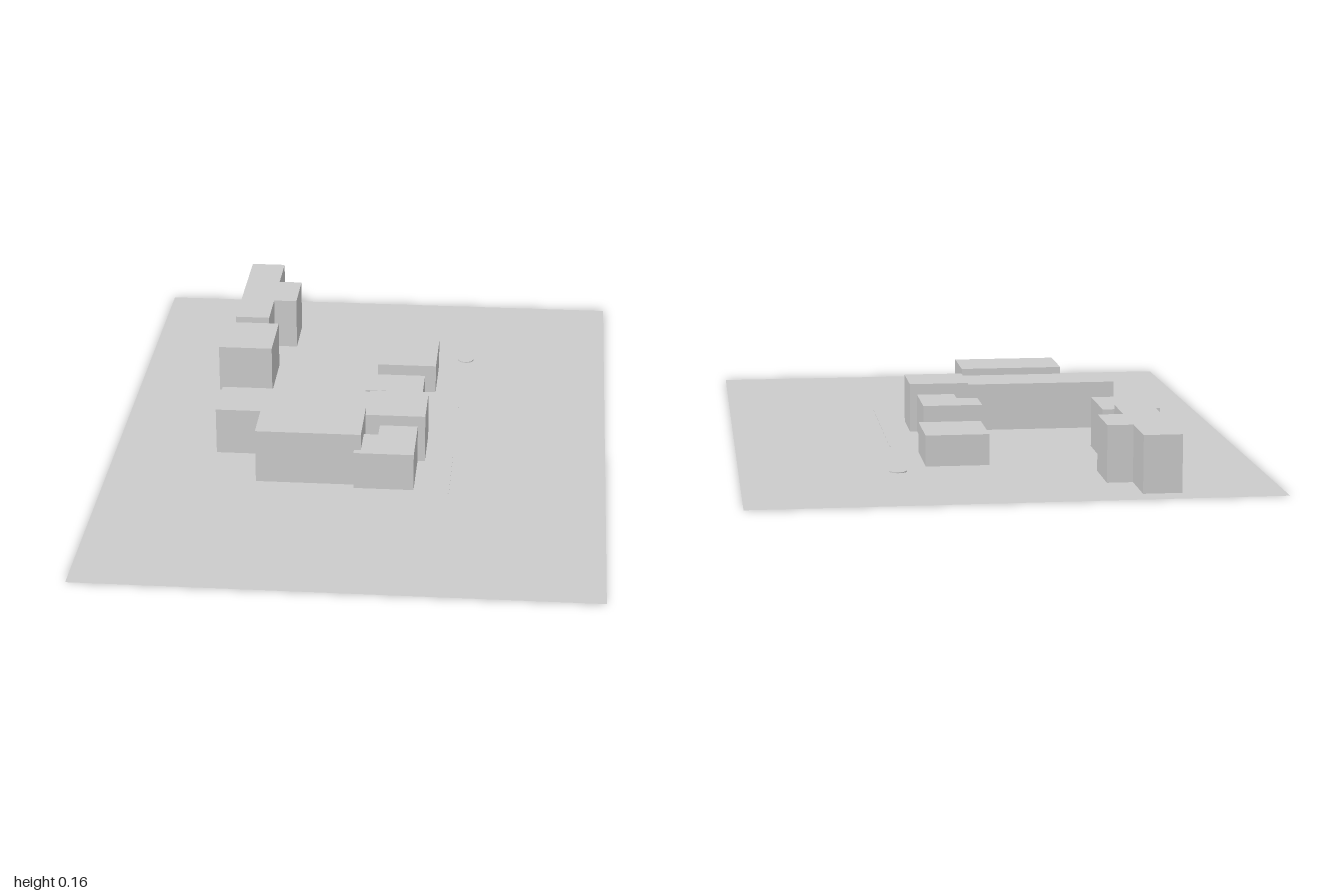
import * as THREE from 'three';

export function createModel() {
  const group = new THREE.Group();
  group.name = 'siteModel';
  const material = new THREE.MeshStandardMaterial({ color: 0xcccccc, flatShading: true });
  const thin = new THREE.MeshStandardMaterial({ color: 0xcccccc, side: THREE.DoubleSide });

  const add = (name, geometry, mat = material) => {
    const mesh = new THREE.Mesh(geometry, mat);
    mesh.name = name;
    group.add(mesh);
    return mesh;
  };

  // Raise a footprint of [x, z] corners to a given height
  const block = (name, height, corners) => {
    const shape = new THREE.Shape(corners.map(([x, z]) => new THREE.Vector2(x, -z)));
    const geometry = new THREE.ExtrudeGeometry(shape, { depth: height, bevelEnabled: false });
    return add(name, geometry.rotateX(-Math.PI / 2));
  };
  const rect = (x0, x1, z0, z1) => [[x0, z0], [x0, z1], [x1, z1], [x1, z0]];

  // Ground sheet
  add('ground', new THREE.PlaneGeometry(1.47, 2).rotateX(-Math.PI / 2), thin);

  // Rear pair: T-shaped building and its neighbour
  block('rearTBuilding', 0.162, [
    [-0.453, -0.93], [-0.453, -0.477], [-0.345, -0.477], [-0.345, -0.62],
    [-0.272, -0.62], [-0.272, -0.78], [-0.345, -0.78], [-0.345, -0.93],
  ]);
  block('rearSquareBuilding', 0.147, rect(-0.48, -0.313, -0.467, -0.268));

  // Detached low building
  block('lowBuilding', 0.09, rect(0.02, 0.203, -0.504, -0.302));

  // Central cluster
  block('longHall', 0.142, rect(-0.43, 0.02, 0.015, 0.177));
  block('frontHall', 0.163, rect(-0.29, 0.02, 0.177, 0.357));
  block('centreBlock', 0.147, rect(0.02, 0.198, 0.015, 0.187));

  // Stepped wings on both sides of the centre block
  block('rearWing', 0.114, [
    [0, -0.175], [0, -0.058], [0.063, -0.058], [0.063, 0.015], [0.176, 0.015], [0.176, -0.175],
  ]);
  block('frontWing', 0.114, [
    [0, 0.25], [0, 0.378], [0.176, 0.378], [0.176, 0.187], [0.063, 0.187], [0.063, 0.25],
  ]);

  // Flat ground markers: round pad and narrow kerb line
  add('roundPad', new THREE.CylinderGeometry(0.025, 0.025, 0.003, 24)).position.set(0.287, 0.0015, -0.56);
  add('kerbLine', new THREE.BoxGeometry(0.004, 0.001, 0.6)).position.set(0.278, 0.0005, 0.09);

  return group;
}
